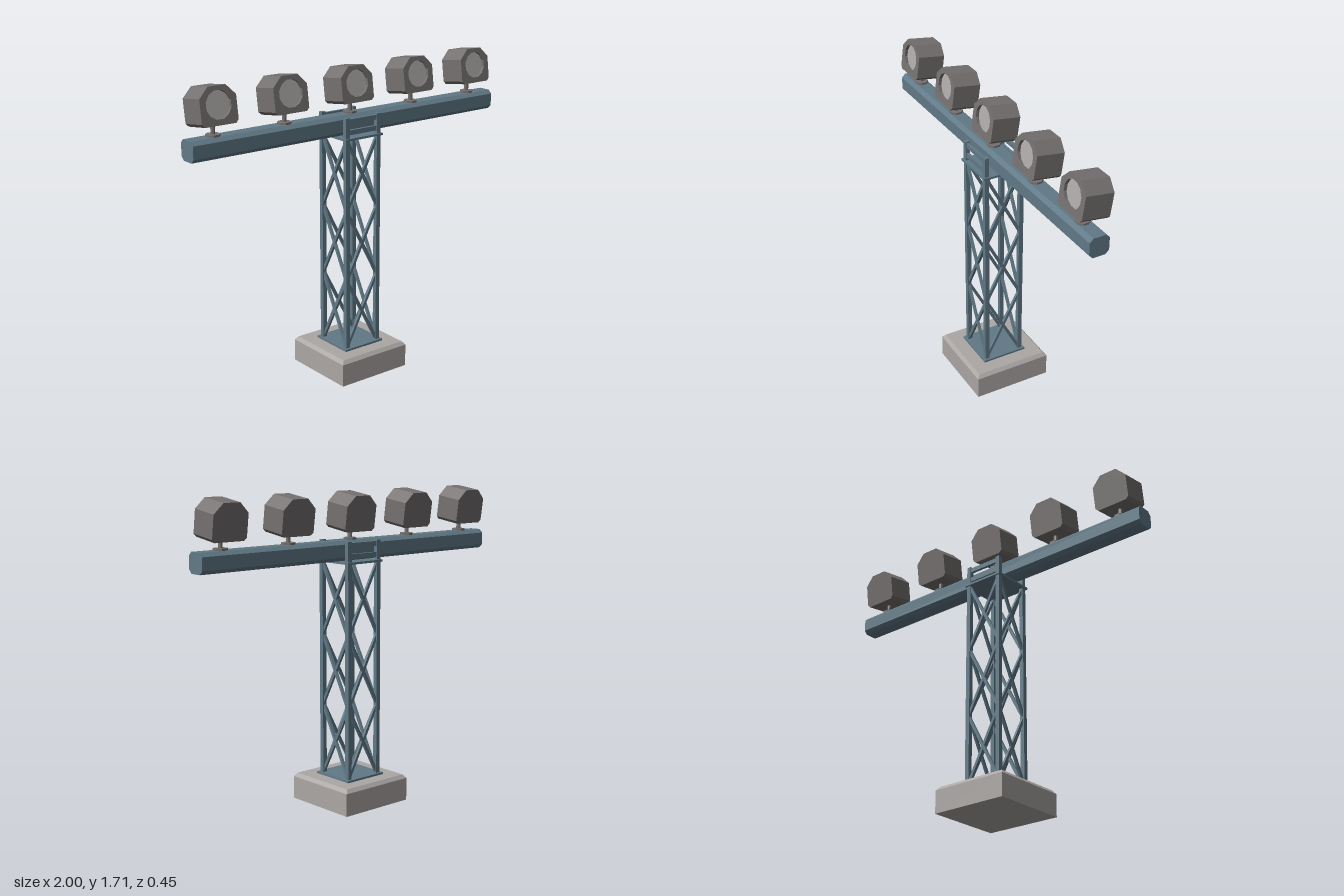
import * as THREE from 'three';

const material = (name, color) => {
  const m = new THREE.MeshStandardMaterial({ color, flatShading: true });
  m.name = name;
  return m;
};

export function createModel() {
  const steel = material('blue grey steel', 0x617a87);
  const concrete = material('concrete', 0xaca7a5);
  const housing = material('lamp housing grey', 0x757170);
  const glass = material('lamp glass', 0xb0adab);
  const model = new THREE.Group();
  model.name = 'floodlightTower';

  const add = (parent, name, geometry, mat, x = 0, y = 0, z = 0) => {
    const mesh = new THREE.Mesh(geometry, mat);
    mesh.name = name;
    mesh.position.set(x, y, z);
    parent.add(mesh);
    return mesh;
  };
  const box = (w, h, d) => new THREE.BoxGeometry(w, h, d);
  // Rectangle with separate chamfers on its top and bottom corners
  const chamferedShape = (w, y0, y1, bottom, top) => new THREE.Shape([
    [-w + bottom, y0], [w - bottom, y0], [w, y0 + bottom], [w, y1 - top],
    [w - top, y1], [-w + top, y1], [-w, y1 - top], [-w, y0 + bottom],
  ].map(([x, y]) => new THREE.Vector2(x, y)));
  const extrude = (shape, depth) => new THREE.ExtrudeGeometry(shape, { depth, bevelEnabled: false });

  // Concrete footing with a bevelled top
  add(model, 'footing', box(0.446, 0.126, 0.446), concrete, 0, 0.063, 0);
  const bevel = new THREE.CylinderGeometry(0.207 * Math.SQRT2, 0.223 * Math.SQRT2, 0.02, 4);
  add(model, 'footingBevel', bevel.rotateY(Math.PI / 4), concrete, 0, 0.136, 0);

  // Lattice tower: plates, legs and crossed braces
  const tower = new THREE.Group();
  tower.name = 'tower';
  model.add(tower);
  const leg = 0.104, low = 0.157, high = 1.336, bays = 3;
  add(tower, 'basePlate', box(0.26, 0.012, 0.26), steel, 0, 0.151, 0);
  add(tower, 'topPlate', box(0.25, 0.012, 0.25), steel, 0, 1.341, 0);
  for (const x of [-leg, leg]) for (const z of [-leg, leg]) {
    add(tower, 'leg', box(0.025, 1.298, 0.025), steel, x, 0.806, z);
  }
  const bay = (high - low) / bays;
  const braceGeometry = box(0.016, Math.hypot(bay, 2 * leg), 0.014);
  for (let side = 0; side < 4; side++) {
    const face = new THREE.Group();
    face.name = 'braceFace';
    face.rotation.y = side * Math.PI / 2;
    tower.add(face);
    for (let i = 0; i < bays; i++) for (const s of [-1, 1]) {
      const brace = add(face, 'brace', braceGeometry, steel, 0, low + (i + 0.5) * bay, leg + s * 0.001);
      brace.rotation.z = s * Math.atan2(2 * leg, bay);
    }
  }
  // Rails that hold the beam between the leg tops
  for (const z of [-leg, leg]) for (const y of [1.376, 1.435]) {
    add(tower, 'beamRail', box(2 * leg, 0.026, 0.016), steel, 0, y, z);
  }

  // Eight-sided crossbeam
  const beam = extrude(chamferedShape(0.055, -0.054, 0.054, 0.02, 0.02), 2);
  add(model, 'crossbeam', beam.translate(0, 0, -1).rotateY(Math.PI / 2), steel, 0, 1.401, 0);

  // Lamps, tilted slightly upward
  const h = 0.193, back = -0.078, front = 0.078, recess = 0.02, lensR = 0.073, lensY = 0.1;
  const outline = () => chamferedShape(0.104, 0, h, 0.016, 0.054);
  const rimShape = outline();
  const hole = [];
  for (let i = 0; i < 12; i++) {
    const a = -(i + 0.5) * Math.PI / 6;
    hole.push(new THREE.Vector2(lensR * Math.cos(a), lensY + lensR * Math.sin(a)));
  }
  rimShape.holes.push(new THREE.Path(hole));
  const bodyGeometry = extrude(outline(), front - recess - back).translate(0, 0, back);
  const rimGeometry = extrude(rimShape, recess).translate(0, 0, front - recess);
  const lensGeometry = new THREE.CircleGeometry(lensR, 12).rotateZ(Math.PI / 12);
  const footGeometry = new THREE.CylinderGeometry(0.038, 0.038, 0.012, 8).rotateY(Math.PI / 8);
  const stemGeometry = new THREE.CylinderGeometry(0.012, 0.012, 0.06, 8);
  for (let i = -2; i <= 2; i++) {
    const lamp = new THREE.Group();
    lamp.name = 'lamp';
    lamp.position.x = i * 0.426;
    model.add(lamp);
    add(lamp, 'lampFoot', footGeometry, housing, 0, 1.46, 0);
    add(lamp, 'lampStem', stemGeometry, housing, 0, 1.492, 0);
    const head = new THREE.Group();
    head.name = 'lampHead';
    head.position.y = 1.511;
    head.rotation.x = -0.14;
    lamp.add(head);
    add(head, 'lampBody', bodyGeometry, housing);
    add(head, 'lampRim', rimGeometry, housing);
    add(head, 'lens', lensGeometry, glass, 0, lensY, front - recess + 0.003);
  }
  return model;
}
